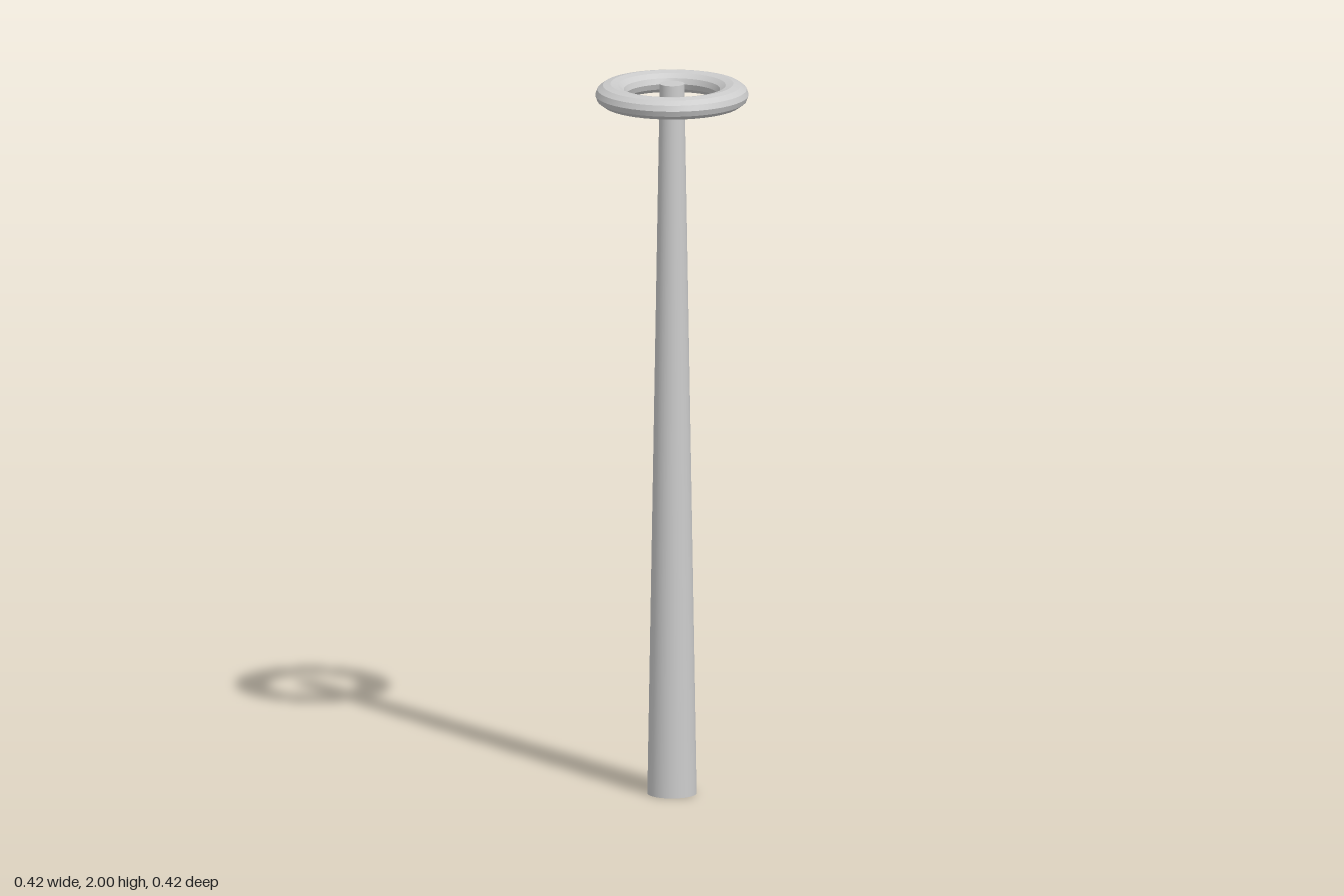
import * as THREE from 'three';
import { toCreasedNormals } from 'three/addons/utils/BufferGeometryUtils.js';

export function createModel() {
  const model = new THREE.Group();
  const material = new THREE.MeshStandardMaterial({ color: 0xcccccc });

  // Tapered pole, capped at both ends
  const pole = new THREE.Mesh(new THREE.CylinderGeometry(0.034, 0.068, 2, 32), material);
  pole.name = 'pole';
  pole.position.y = 1;
  model.add(pole);

  // Flattened ring floating around the top of the pole
  const ringHeight = 0.062;
  const tubeRadius = 0.042;
  const ringGeometry = new THREE.TorusGeometry(0.169, tubeRadius, 12, 48);
  ringGeometry.rotateX(-Math.PI / 2);
  ringGeometry.scale(1, ringHeight / (2 * tubeRadius), 1);
  const ring = new THREE.Mesh(toCreasedNormals(ringGeometry, 0.35), material);
  ring.name = 'ring';
  ring.position.y = 2 - ringHeight / 2;
  model.add(ring);

  return model;
}
